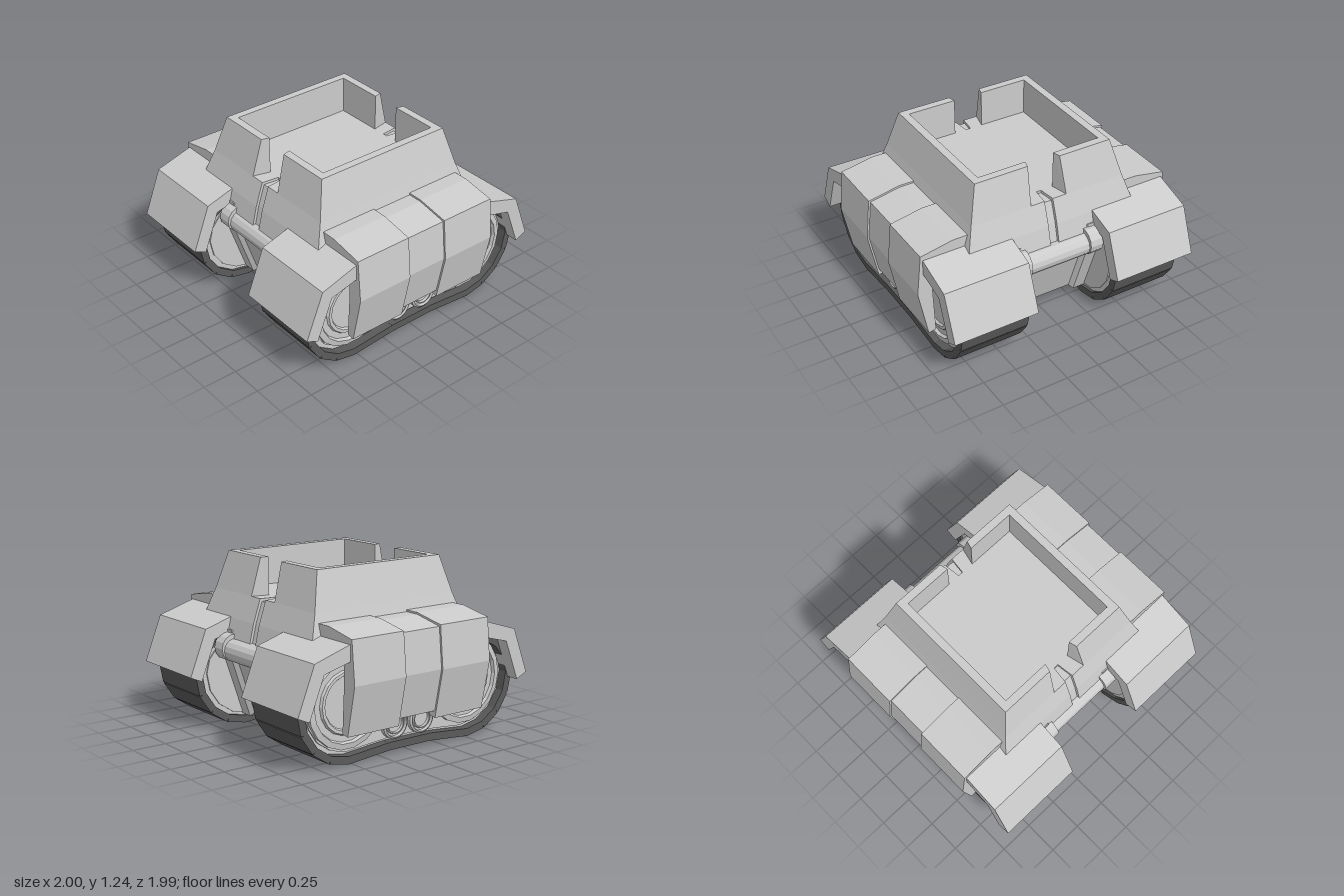
import * as THREE from 'three';

const grey = new THREE.MeshStandardMaterial({ color: 0xcccccc, flatShading: true });
const dark = new THREE.MeshStandardMaterial({ color: 0x5a5a5a, flatShading: true });

function add(parent, name, geometry, material = grey) {
  const mesh = new THREE.Mesh(geometry, material);
  mesh.name = name;
  parent.add(mesh);
  return mesh;
}

const toShape = (pts) => new THREE.Shape(pts.map(([x, y]) => new THREE.Vector2(x, y)));

// Side profile of [z, y] points, extruded from x0 to x1, with an optional chamfer
function extrudeX(pts, x0, x1, chamfer = 0) {
  const g = new THREE.ExtrudeGeometry(toShape(pts.map(([z, y]) => [-z, y])), {
    depth: x1 - x0 - 2 * chamfer, bevelEnabled: chamfer > 0, bevelSegments: 1,
    bevelThickness: chamfer, bevelSize: chamfer, bevelOffset: -chamfer,
  });
  return g.rotateY(Math.PI / 2).translate(x0 + chamfer, 0, 0);
}

// Front profile of [x, y] points, extruded from z0 to z1
function extrudeZ(pts, z0, z1) {
  return new THREE.ExtrudeGeometry(toShape(pts), { depth: z1 - z0, bevelEnabled: false }).translate(0, 0, z0);
}

// Skin between plan outlines of [x, z] points stacked at rising heights, capped at both ends
function loft(layers) {
  const rings = layers.map(([y, pts]) => {
    const flat = pts.map(([x, z]) => new THREE.Vector2(x, z));
    if (THREE.ShapeUtils.isClockWise(flat)) flat.reverse();
    return { flat, ring: flat.map((p) => new THREE.Vector3(p.x, y, p.y)) };
  });
  const tris = [];
  for (let k = 0; k < rings.length - 1; k++) {
    const lo = rings[k].ring, hi = rings[k + 1].ring;
    lo.forEach((a, i) => {
      const j = (i + 1) % lo.length;
      tris.push(a, hi[i], hi[j], a, hi[j], lo[j]);
    });
  }
  const cap = ({ flat, ring }, up) => THREE.ShapeUtils.triangulateShape(flat, []).forEach(([a, b, c]) =>
    tris.push(ring[a], ring[up ? c : b], ring[up ? b : c]));
  cap(rings[0], false);
  cap(rings[rings.length - 1], true);
  const g = new THREE.BufferGeometry().setFromPoints(tris);
  g.computeVertexNormals();
  return g;
}

// Joins a front half profile with its mirror towards the rear
const mirrorZ = (half) => [...half, ...half.map(([z, y]) => [-z, y]).reverse()];

const rect = (hx, hz) => [[-hx, hz], [hx, hz], [hx, -hz], [-hx, -hz]];

// Rectangle with a narrow wedge cut into its front and rear edges
function notched(hx, hz) {
  const front = [[-hx, hz], [-0.033, hz], [-0.018, 0.475], [0.018, 0.475], [0.033, hz], [hx, hz]];
  return [...front, ...front.map(([x, z]) => [-x, -z])];
}

// Open wall of one side of the upper compartment, with slot ends front and rear
function wallPlan(s, h, slot) {
  const front = [[0.11, 0.473], [slot, h], [h, h]];
  const rear = [[h, -h], [slot, -h], [0.11, -0.473], [0.473, -0.473], [0.473, 0.473]];
  return [...front, ...rear].map(([x, z]) => [s * x, z]);
}

// Stepped disc facing outwards along x
function wheel(parent, name, s, r, x, y, z, depth, sides) {
  const profile = [[1, 0], [1, 0.8], [0.87, 1], [0.84, 0.45], [0.7, 0.45], [0.67, 0.9], [0.6, 0.9], [0.57, 0.5], [0, 0.5]];
  const g = new THREE.LatheGeometry(profile.map(([a, b]) => new THREE.Vector2(a * r, b * depth)), sides);
  const m = add(parent, name, g);
  m.rotation.z = -s * Math.PI / 2;
  m.position.set(s * x, y, z);
}

// Closed inner path of a track as [z, y], round ends and a slightly arched bottom
function trackPath() {
  const half = [[0.18, 0.085]];
  for (let i = 0; i <= 8; i++) {
    const a = -Math.PI / 2 + (i * Math.PI) / 8;
    half.push([0.525 + 0.357 * Math.cos(a), 0.41 + (a < 0 ? 0.355 : 0.28) * Math.sin(a)]);
  }
  return mirrorZ(half);
}

function addTrack(parent, s) {
  const track = new THREE.Group();
  track.name = s > 0 ? 'leftTrack' : 'rightTrack';
  parent.add(track);
  const path = trackPath();
  const span = (a, b) => (s > 0 ? [a, b] : [-b, -a]);
  // Links lie on the outside of the path, leaving small wedge gaps at the bends
  path.forEach(([z0, y0], i) => {
    const [z1, y1] = path[(i + 1) % path.length];
    const len = Math.hypot(z1 - z0, y1 - y0);
    const link = add(track, 'trackLink', new THREE.BoxGeometry(0.515, 0.054, len + 0.012), dark);
    const nz = (y1 - y0) / len, ny = -(z1 - z0) / len;
    link.position.set(s * 0.6075, (y0 + y1) / 2 + ny * 0.027, (z0 + z1) / 2 + nz * 0.027);
    link.rotation.x = -Math.atan2(y1 - y0, z1 - z0);
  });
  const inset = (k) => path.map(([z, y]) => [z * k, 0.41 + (y - 0.41) * k]);
  add(track, 'trackCore', extrudeX(path, ...span(0.37, 0.8)));
  add(track, 'trackSidePlate', extrudeX(inset(0.95), ...span(0.36, 0.815)));
  for (const e of [-1, 1]) {
    wheel(track, 'endWheel', s, 0.315, 0.81, 0.41, e * 0.515, 0.04, 18);
    wheel(track, 'roadWheel', s, 0.105, 0.81, 0.2, e * 0.115, 0.045, 24);
  }
}

function addSide(parent, s) {
  const side = new THREE.Group();
  side.name = s > 0 ? 'leftSide' : 'rightSide';
  parent.add(side);
  addTrack(side, s);

  // Bent fender running over the track
  const fender = mirrorZ([[0.56, 0.72], [0.79, 0.66], [0.905, 0.37], [0.995, 0.41], [0.865, 0.74], [0.59, 0.825]]);
  add(side, 'fender', extrudeX(fender, ...(s > 0 ? [0.32, 0.955] : [-0.955, -0.32])));

  // Side skirt: two outer panels and a slightly recessed centre panel
  const skirt = (d, bottom) => [[0.57, 0.905 - d], [0.73, 0.905 - d], [0.97 - d, 0.86 - d], [1 - d, 0.56],
    [0.93 + (bottom - 0.21) * 0.2 - d, bottom], [0.875, bottom + 0.01], [0.89, 0.55], [0.89, 0.79], [0.57, 0.79]]
    .map(([x, y]) => [s * x, y]);
  add(side, 'frontSkirt', extrudeZ(skirt(0, 0.21), 0.16, 0.59));
  add(side, 'rearSkirt', extrudeZ(skirt(0, 0.21), -0.585, -0.158));
  add(side, 'centreSkirt', extrudeZ(skirt(0.013, 0.26), -0.16, 0.162));

  // Raised flange with a chamfered edge along the lower hull
  const flange = mirrorZ([[0.54, 0.07], [0.685, 0.5], [0.685, 0.72]]);
  add(side, 'hullFlange', extrudeX(flange, ...(s > 0 ? [0.24, 0.4] : [-0.4, -0.24]), 0.03));

  // Wall of the open compartment
  add(side, 'compartmentWall', loft([[0.97, wallPlan(s, 0.6, 0.14)], [1.24, wallPlan(s, 0.53, 0.125)]]));
}

export function createModel() {
  const model = new THREE.Group();
  model.name = 'trackedCarrier';

  // Upper hull with its floor, widening into the overhang under the walls
  add(model, 'upperHull', loft([
    [0.62, notched(0.34, 0.7)], [0.8, notched(0.34, 0.657)],
    [0.8, notched(0.65, 0.657)], [0.97, notched(0.6, 0.6)],
  ]));
  // Bed of the shallow groove running down the front and rear
  add(model, 'grooveBed', loft([[0.62, rect(0.036, 0.68)], [0.8, rect(0.036, 0.637)], [0.95, rect(0.036, 0.586)]]));
  add(model, 'lowerHull', extrudeX(mirrorZ([[0.52, 0.1], [0.655, 0.5], [0.66, 0.68]]), -0.26, 0.26));

  // Cross tubes with end collars at front and rear
  for (const z of [0.66, -0.687]) {
    add(model, 'crossTube', new THREE.CylinderGeometry(0.083, 0.083, 0.6, 14).rotateZ(Math.PI / 2).translate(0, 0.583, z));
    for (const s of [-1, 1]) {
      add(model, 'tubeCollar', new THREE.CylinderGeometry(0.1, 0.1, 0.1, 14).rotateZ(Math.PI / 2).translate(s * 0.285, 0.6, z));
    }
  }

  for (const s of [-1, 1]) addSide(model, s);
  return model;
}
